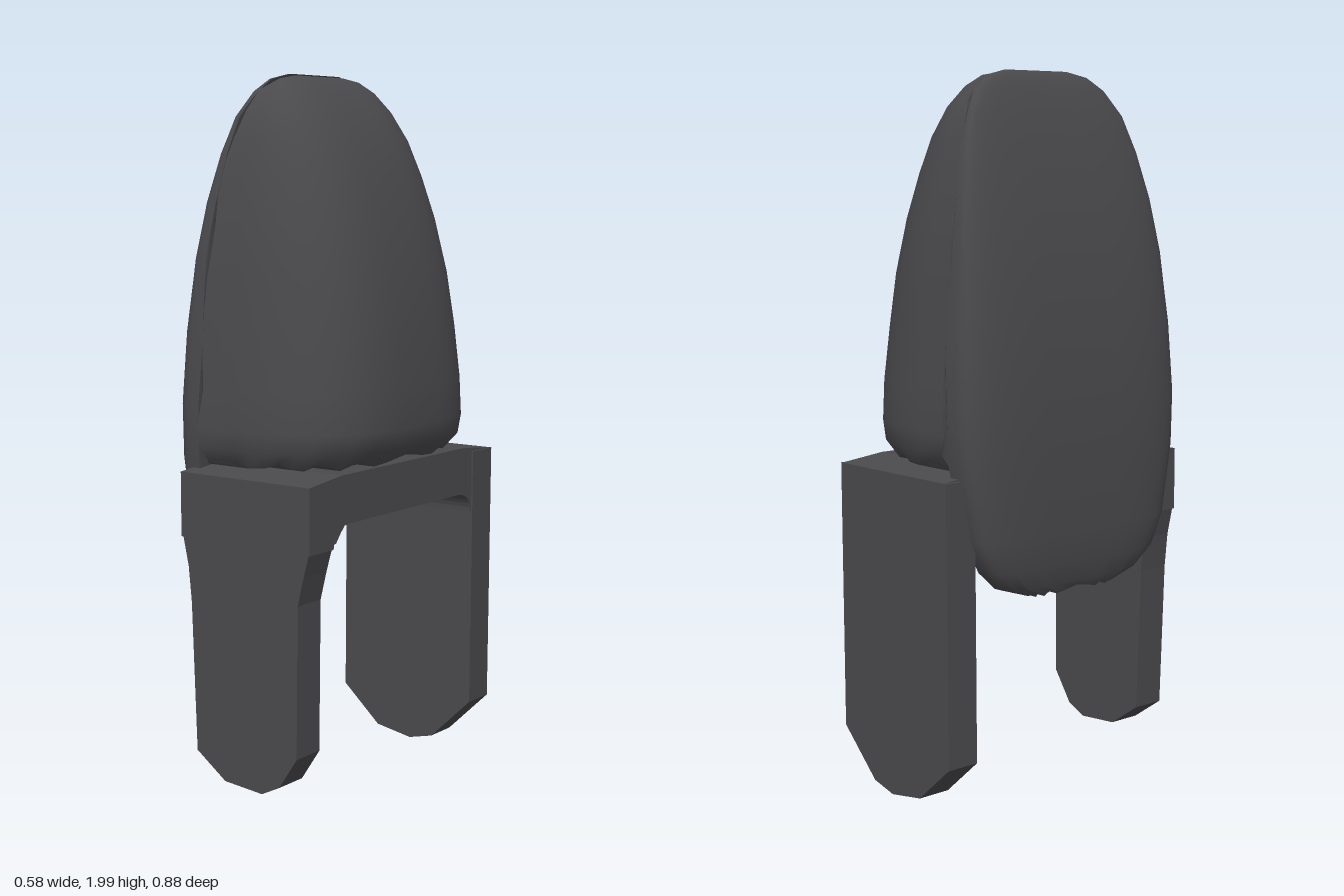
import * as THREE from 'three';
import { mergeGeometries } from 'three/addons/utils/BufferGeometryUtils.js';

const SEG = 28;

// Smooth surface through rows of points; flip turns it inside out
function grid(rows, flip) {
  const n = rows[0].length, index = [];
  for (let r = 0; r < rows.length - 1; r++) {
    for (let i = 0; i < n - 1; i++) {
      const a = r * n + i, b = a + n, c = a + 1, d = b + 1;
      if (flip) index.push(a, c, b, c, d, b);
      else index.push(a, b, c, c, b, d);
    }
  }
  const g = new THREE.BufferGeometry();
  g.setAttribute('position', new THREE.Float32BufferAttribute(rows.flat(2), 3));
  g.setIndex(index);
  g.computeVertexNormals();
  return g;
}

// Half-rounded shell from [y, inner x, outer x, half depth] sections, with a ragged rim
function shell(sections, power, side, rag) {
  const outer = [], inner = [];
  sections.forEach(([y, xin, xout, w], r) => {
    const o = [], n = [];
    for (let i = 0; i <= SEG; i++) {
      const a = (i / SEG - 0.5) * Math.PI;
      const c = Math.pow(Math.max(0, Math.cos(a)), 2 / power);
      const s = Math.sign(a) * Math.pow(Math.abs(Math.sin(a)), 2 / power);
      const rim = Math.pow(1 - c, 2) * rag * Math.sin(r * 2.3 + (a > 0 ? 1 : 0));
      const hem = r === 0 ? rag * Math.sin(i * 1.9) : 0;
      o.push([xin + (xout - xin) * c + rim, y + hem, w * s]);
      n.push([xin + rim, y + hem, w * s]);
    }
    outer.push(o);
    inner.push(n);
  });
  const f = side < 0, last = sections.length - 1;
  return mergeGeometries([
    grid(outer, f),
    grid(inner, !f),
    grid([inner[0], outer[0]], f),
    grid([inner[last], outer[last]], !f),
  ]);
}

function shapeOf(points) {
  return new THREE.Shape(points.map(([x, y]) => new THREE.Vector2(x, y)));
}

export function createModel() {
  const group = new THREE.Group();
  const charcoal = new THREE.MeshStandardMaterial({ color: 0x4a494c });
  charcoal.name = 'charcoal';

  const add = (name, geometry) => {
    const mesh = new THREE.Mesh(geometry, charcoal);
    mesh.name = name;
    group.add(mesh);
    return mesh;
  };

  // Large domed shell
  add('domeShell', shell([
    [0.945, -0.17, 0.235, 0.38],
    [0.985, -0.17, 0.28, 0.405],
    [1.04, -0.17, 0.29, 0.41],
    [1.15, -0.165, 0.285, 0.405],
    [1.3, -0.165, 0.27, 0.39],
    [1.45, -0.16, 0.245, 0.378],
    [1.6, -0.155, 0.207, 0.355],
    [1.72, -0.145, 0.165, 0.33],
    [1.82, -0.13, 0.12, 0.305],
    [1.9, -0.11, 0.065, 0.27],
    [1.955, -0.09, 0.015, 0.225],
    [1.985, -0.075, -0.03, 0.175],
    [1.995, -0.07, -0.055, 0.11],
  ], 3, 1, 0.009));

  // Shallow shell on the other side, hanging below the bracket
  add('sideShell', shell([
    [0.58, -0.2, -0.255, 0.16],
    [0.605, -0.2, -0.268, 0.25],
    [0.66, -0.2, -0.28, 0.315],
    [0.75, -0.2, -0.29, 0.355],
    [0.95, -0.18, -0.292, 0.395],
    [1.1, -0.175, -0.29, 0.403],
    [1.3, -0.17, -0.277, 0.393],
    [1.5, -0.165, -0.25, 0.372],
    [1.65, -0.155, -0.22, 0.35],
    [1.78, -0.14, -0.188, 0.318],
    [1.88, -0.12, -0.157, 0.283],
    [1.95, -0.1, -0.13, 0.235],
    [1.985, -0.09, -0.11, 0.18],
    [2.0, -0.08, -0.092, 0.115],
  ], 4, -1, 0.007));

  // Bridge of the bracket, with rounded inner corners
  const arch = shapeOf([[0.44, 0.74], [0.44, 0.92], [0.3, 0.935], [-0.3, 0.935], [-0.44, 0.92], [-0.44, 0.74], [-0.335, 0.74]]);
  arch.quadraticCurveTo(-0.335, 0.8, -0.26, 0.8);
  arch.lineTo(0.26, 0.8);
  arch.quadraticCurveTo(0.335, 0.8, 0.335, 0.74);
  const bridge = new THREE.ExtrudeGeometry(arch, { depth: 0.445, bevelEnabled: false, curveSegments: 8 });
  bridge.rotateY(-Math.PI / 2);
  bridge.translate(0.235, 0, 0);
  // The extrusion runs along -x and shape x becomes z
  add('bracketBridge', bridge);

  // Legs: a wide one at the back, a necked one at the front
  const leg = (name, points, z) => {
    const g = new THREE.ExtrudeGeometry(shapeOf(points), { depth: 0.1, bevelEnabled: false });
    g.translate(0, 0, z);
    add(name, g);
  };
  leg('backLeg', [
    [-0.225, 0.14], [-0.1, 0.03], [0.02, 0.01], [0.1, 0.03], [0.235, 0.16],
    [0.24, 0.92], [-0.22, 0.92],
  ], -0.44);
  leg('frontLeg', [
    [-0.16, 0.14], [-0.06, 0.07], [0.07, 0.06], [0.13, 0.09], [0.19, 0.18], [0.195, 0.6],
    [0.215, 0.68], [0.235, 0.75], [0.235, 0.92], [-0.21, 0.92], [-0.205, 0.75], [-0.185, 0.66], [-0.175, 0.56],
  ], 0.34);

  return group;
}
